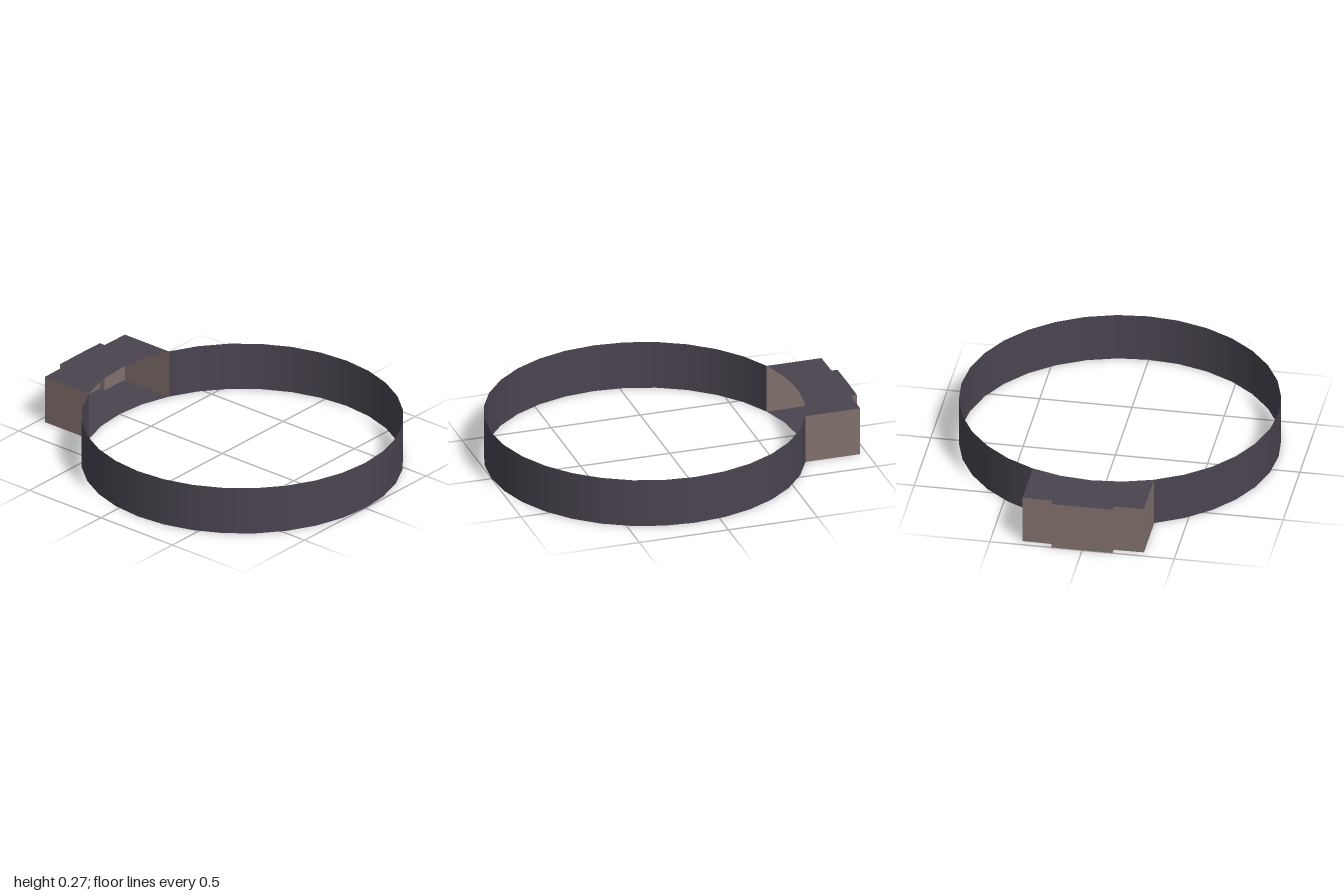
import * as THREE from 'three';

const HEIGHT = 0.27, RADIUS = 0.86, CENTRE_Z = 0.14;
const SEGMENTS = 32, GAP = 4; // the band leaves four segments open at the back

const flat = (name, color) => new THREE.MeshStandardMaterial({ name, color, side: THREE.DoubleSide });

// Vertical flat-shaded wall along a path of [x, z] points
function wallGeometry(path) {
  const pos = [];
  for (let i = 0; i < path.length - 1; i++) {
    const [ax, az] = path[i], [bx, bz] = path[i + 1];
    pos.push(ax, 0, az, bx, 0, bz, bx, HEIGHT, bz);
    pos.push(ax, 0, az, bx, HEIGHT, bz, ax, HEIGHT, az);
  }
  const geo = new THREE.BufferGeometry();
  geo.setAttribute('position', new THREE.Float32BufferAttribute(pos, 3));
  geo.computeVertexNormals();
  return geo;
}

// Horizontal plate from [x, z] points, facing up (dir 1) or down (dir -1)
function plateGeometry(points, dir) {
  const shape = new THREE.Shape(points.map(([x, z]) => new THREE.Vector2(x, -dir * z)));
  return new THREE.ShapeGeometry(shape).rotateX(-dir * Math.PI / 2);
}

export function createModel() {
  const group = new THREE.Group();
  const bandMat = flat('darkPlum', 0x4a444f);
  const wallMat = flat('greyBrown', 0x80706c);
  const add = (name, geo, mat, parent = group) => {
    const mesh = new THREE.Mesh(geo, mat);
    mesh.name = name;
    parent.add(mesh);
    return mesh;
  };

  // Thin open band
  const step = 2 * Math.PI / SEGMENTS;
  const start = Math.PI + step * GAP / 2;
  const band = add('band', new THREE.CylinderGeometry(RADIUS, RADIUS, HEIGHT,
    SEGMENTS - GAP, 1, true, start, 2 * Math.PI - step * GAP), bandMat);
  band.position.set(0, HEIGHT / 2, CENTRE_Z);

  // Hollow case at the back, open towards the inside of the band
  const caseGroup = new THREE.Group();
  caseGroup.name = 'case';
  group.add(caseGroup);

  const inner = [];
  for (let i = -GAP / 2; i <= GAP / 2; i++) {
    inner.push([RADIUS * Math.sin(i * step), CENTRE_Z - RADIUS * Math.cos(i * step)]);
  }
  const [w, zIn] = inner[GAP];
  const half = [[w, zIn], [w, -0.962], [0.165, -0.965], [0.165, -0.998]];
  const outer = [...half, [0, -1], ...half.map(([x, z]) => [-x, z]).reverse()];
  const outline = [...outer, ...inner.slice(1, -1)];

  add('caseWalls', wallGeometry(outer), wallMat, caseGroup);
  const lid = add('caseTop', plateGeometry(outline, 1), bandMat, caseGroup);
  lid.position.y = HEIGHT;
  add('caseBottom', plateGeometry(outline, -1), bandMat, caseGroup);

  return group;
}
